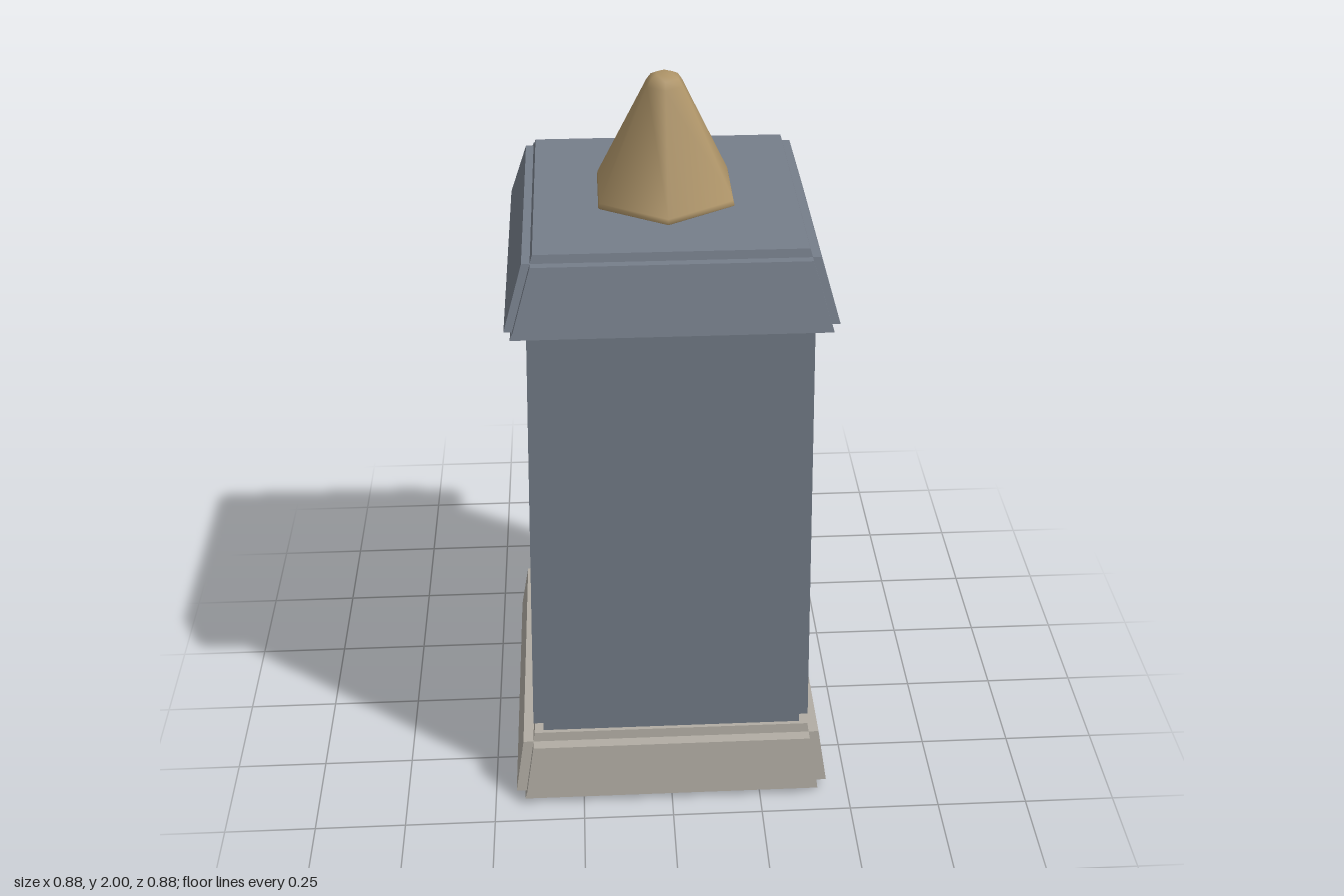
import * as THREE from 'three';

const slate = new THREE.MeshStandardMaterial({ color: 0x767e8a });
slate.name = 'slate';
const stone = new THREE.MeshStandardMaterial({ color: 0xb2ada4 });
stone.name = 'stone';
const bronze = new THREE.MeshStandardMaterial({ color: 0xae9468 });
bronze.name = 'bronze';

// Box whose half-widths in x and z change from bottom to top
function taperedBox(y0, y1, halfX, halfZ) {
  const geo = new THREE.BoxGeometry(2, y1 - y0, 2);
  geo.translate(0, (y0 + y1) / 2, 0);
  const p = geo.attributes.position;
  for (let i = 0; i < p.count; i++) {
    const y = p.getY(i);
    p.setXYZ(i, p.getX(i) * halfX(y), y, p.getZ(i) * halfZ(y));
  }
  const flat = geo.toNonIndexed();
  flat.computeVertexNormals();
  return flat;
}

// Tapered block with a square step cut along every edge: a core plus two crossing slabs
function steppedBlock(name, material, y0, y1, w0, w1, step) {
  const group = new THREE.Group();
  group.name = name;
  const full = (y) => w0 + (w1 - w0) * (y - y0) / (y1 - y0);
  const inset = (y) => full(y) - step;
  const pieces = {
    Core: taperedBox(y0, y1, inset, inset),
    SidePanels: taperedBox(y0 + step, y1 - step, full, inset),
    FrontBackPanels: taperedBox(y0 + step, y1 - step, inset, full),
  };
  for (const [part, geo] of Object.entries(pieces)) {
    const mesh = new THREE.Mesh(geo, material);
    mesh.name = name + part;
    group.add(mesh);
  }
  return group;
}

export function createModel() {
  const model = new THREE.Group();
  model.name = 'pillar';

  model.add(steppedBlock('plinth', stone, 0, 0.22, 0.445, 0.41, 0.028));
  model.add(steppedBlock('shaft', slate, 0.205, 1.53, 0.386, 0.348, 0.028));
  model.add(steppedBlock('cap', slate, 1.495, 1.69, 0.406, 0.346, 0.02));

  // Six-sided finial with a blunt, rounded tip
  const profile = [
    [0, 1.685], [0.185, 1.685], [0.193, 1.693], [0.19, 1.705],
    [0.05, 1.975], [0.038, 1.992], [0.022, 2], [0, 2],
  ].map(([r, y]) => new THREE.Vector2(r, y));
  const finial = new THREE.Mesh(new THREE.LatheGeometry(profile, 6), bronze);
  finial.name = 'finial';
  model.add(finial);

  return model;
}
